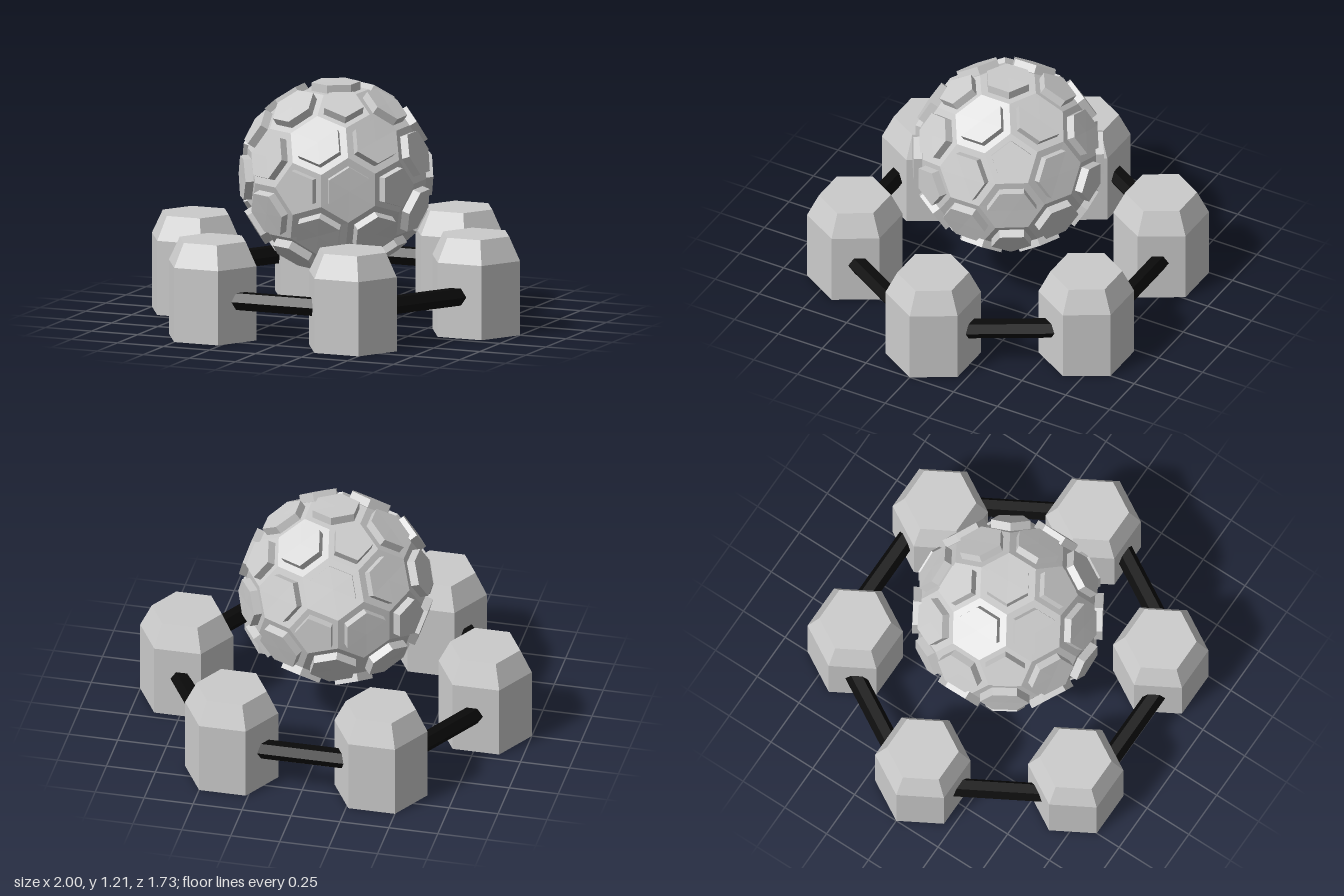
import * as THREE from 'three';

const grey = new THREE.MeshStandardMaterial({ color: 0xcccccc, flatShading: true });
const black = new THREE.MeshStandardMaterial({ color: 0x0a0a0a, flatShading: true });

const CORE_RADIUS = 0.46, PLATE_SCALE = 0.75, PLATE_HEIGHT = 0.042;

function facesToGeometry(points) {
  const geometry = new THREE.BufferGeometry().setFromPoints(points);
  geometry.computeVertexNormals();
  return geometry;
}

// Cell centres: 12 pentagons (one facing +z) and 30 hexagons halfway between them
function cellCentres() {
  const pentagons = [new THREE.Vector3(0, 0, 1)];
  const polar = Math.atan(2);
  for (let i = 0; i < 5; i++) {
    pentagons.push(new THREE.Vector3().setFromSphericalCoords(1, polar, 0).set(
      Math.sin(polar) * Math.cos(i * Math.PI * 0.4),
      Math.sin(polar) * Math.sin(i * Math.PI * 0.4),
      Math.cos(polar)));
  }
  pentagons.push(...pentagons.map(p => p.clone().negate()));
  const hexagons = [];
  pentagons.forEach((a, i) => pentagons.slice(i + 1).forEach(b => {
    if (a.dot(b) > 0.4) hexagons.push(a.clone().add(b).normalize());
  }));
  return [...pentagons, ...hexagons];
}

// Corners of one cell, counter-clockwise seen from outside
function cellCorners(centre, centres) {
  const near = centres.filter(p => p !== centre && p.dot(centre) > 0.78);
  const u = near[0].clone().addScaledVector(centre, -near[0].dot(centre)).normalize();
  const v = centre.clone().cross(u);
  const angle = p => Math.atan2(p.dot(v), p.dot(u));
  near.sort((a, b) => angle(a) - angle(b));
  return near.map((p, i) => p.clone().add(near[(i + 1) % near.length]).add(centre)
    .normalize().multiplyScalar(CORE_RADIUS));
}

function createBall() {
  const ball = new THREE.Group();
  ball.name = 'ball';
  const centres = cellCentres();
  const corePoints = [], platePoints = [];
  for (const centre of centres) {
    const corners = cellCorners(centre, centres);
    const n = corners.length;
    const middle = corners.reduce((s, p) => s.add(p), new THREE.Vector3()).divideScalar(n);
    const lift = centre.clone().multiplyScalar(PLATE_HEIGHT);
    const foot = corners.map(p => middle.clone().lerp(p, PLATE_SCALE));
    const rim = foot.map(p => p.clone().add(lift));
    const top = middle.clone().add(lift);
    for (let i = 0; i < n; i++) {
      const j = (i + 1) % n;
      // Border of the cell
      corePoints.push(corners[i], corners[j], foot[j], corners[i], foot[j], foot[i]);
      // Raised plate: wall and top
      platePoints.push(foot[i], foot[j], rim[j], foot[i], rim[j], rim[i], top, rim[i], rim[j]);
    }
  }
  const core = new THREE.Mesh(facesToGeometry(corePoints), grey);
  core.name = 'ballCore';
  const plates = new THREE.Mesh(facesToGeometry(platePoints), grey);
  plates.name = 'ballPlates';
  ball.add(core, plates);
  ball.position.y = 0.737;
  return ball;
}

// Hexagonal post with a tapered cap
function createPod() {
  const pod = new THREE.Group();
  pod.name = 'pod';
  const addPart = (name, geometry, y) => {
    const mesh = new THREE.Mesh(geometry.rotateY(Math.PI / 6), grey);
    mesh.name = name;
    mesh.position.y = y;
    pod.add(mesh);
  };
  const body = new THREE.CylinderGeometry(0.238, 0.238, 0.375, 6, 1, true);
  addPart('podBody', body, 0.1875);
  addPart('podCap', new THREE.CylinderGeometry(0.179, 0.238, 0.12, 6, 1, true), 0.435);
  addPart('podTop', new THREE.CircleGeometry(0.179, 6).rotateX(-Math.PI / 2).rotateY(Math.PI / 6), 0.495);
  addPart('podBottom', new THREE.CircleGeometry(0.238, 6).rotateX(Math.PI / 2).rotateY(Math.PI / 6), 0);
  return pod;
}

export function createModel() {
  const model = new THREE.Group();
  model.name = 'model';
  model.add(createBall());

  // Ring of six pods joined by six rods
  const rodGeometry = new THREE.CylinderGeometry(0.049, 0.049, 0.6, 6).rotateZ(Math.PI / 2);
  for (let i = 0; i < 6; i++) {
    const a = i * Math.PI / 3;
    const pod = createPod();
    pod.position.set(0.762 * Math.cos(a), 0, 0.762 * Math.sin(a));
    model.add(pod);

    const rod = new THREE.Mesh(rodGeometry, black);
    rod.name = 'connectingRod';
    rod.position.set(0.745 * Math.sin(a), 0.21, 0.745 * Math.cos(a));
    rod.rotation.y = a;
    model.add(rod);
  }
  return model;
}
